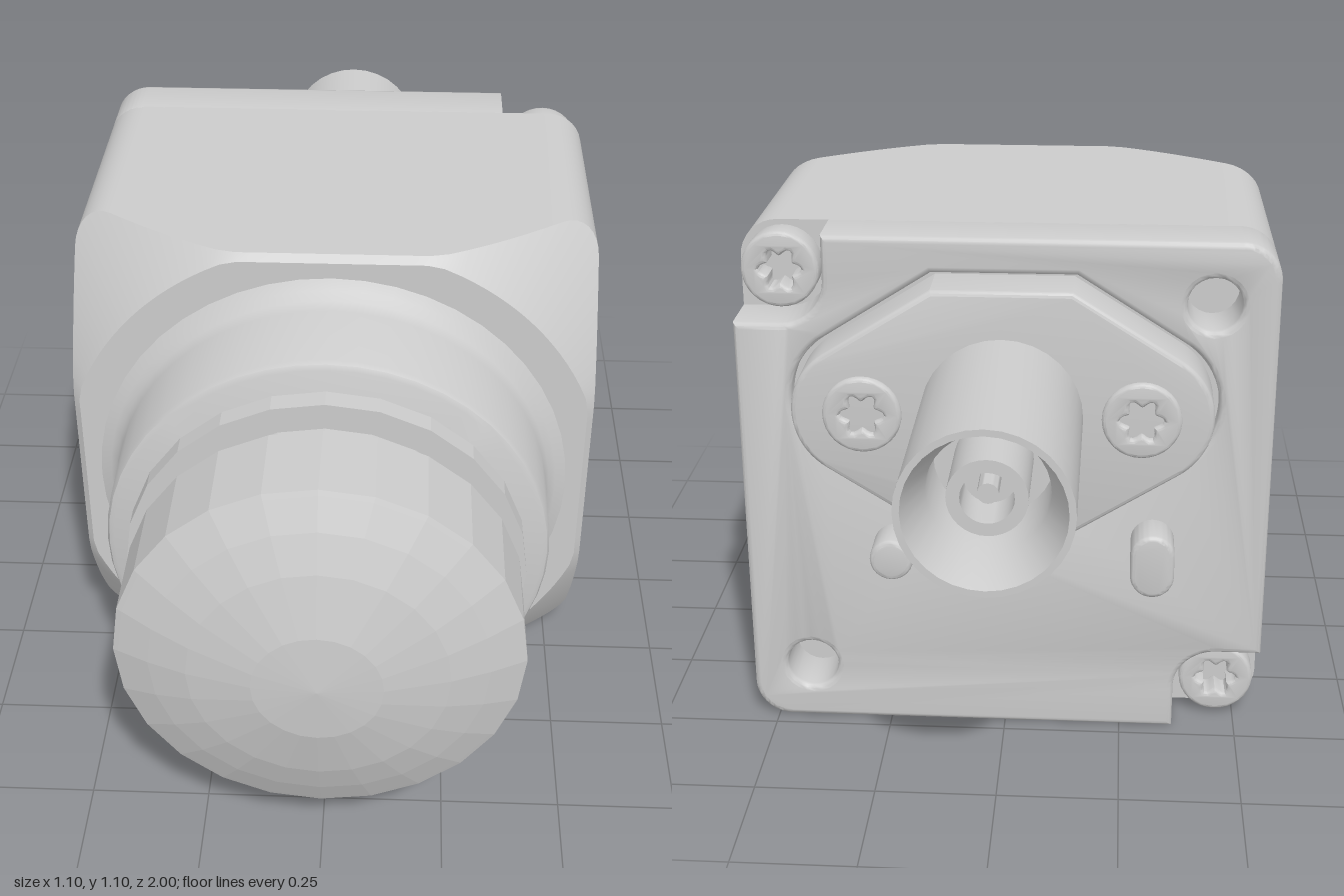
import * as THREE from 'three';
import { toCreasedNormals } from 'three/addons/utils/BufferGeometryUtils.js';

const MAT = new THREE.MeshStandardMaterial({ color: 0xcccccc });
const FACETED = new THREE.MeshStandardMaterial({ color: 0xcccccc, flatShading: true });
const PI = Math.PI;
const CY = 0.55;      // height of the lens axis
const PLUG_Y = 0.755; // height of the connector axis

const vec = (pts) => pts.map(([x, y]) => new THREE.Vector2(x, y));

function part(name, geo, x = 0, y = 0, z = 0, mat = MAT) {
  const m = new THREE.Mesh(mat === MAT ? toCreasedNormals(geo, 0.6) : geo, mat);
  m.name = name;
  m.position.set(x, y, z);
  return m;
}

// Solid of revolution about z; profile is [radius, z] with z rising on the outside
const turned = (pts, sides) => new THREE.LatheGeometry(vec(pts), sides).rotateX(PI / 2);

// Slab between z0 and z1 whose edges are rounded inward by b
function slab(shape, z0, z1, b = 0, curveSegments = 12) {
  return new THREE.ExtrudeGeometry(shape, {
    depth: z1 - z0 - 2 * b, bevelEnabled: b > 0, bevelSize: b, bevelThickness: b,
    bevelOffset: -b, bevelSegments: 3, curveSegments,
  }).translate(0, 0, z0 + b);
}

function circlePath(x, y, r) {
  return new THREE.Path().absarc(x, y, r, 0, PI * 2, true);
}

// Two-eared outline of the connector plate, grown by o
function earOutline(Type, cy, o = 0) {
  const s = new Type(), r = 0.145 + o, a = 1.0;
  s.absarc(0.28, cy, r, -a, a, false);
  s.lineTo(0.14 + o / 2, cy + 0.26 + o);
  s.lineTo(-0.14 - o / 2, cy + 0.26 + o);
  s.absarc(-0.28, cy, r, PI - a, PI + a, false);
  s.lineTo(-0.14 - o / 2, cy - 0.26 - o);
  s.lineTo(0.14 + o / 2, cy - 0.26 - o);
  s.closePath();
  return s;
}

// Housing front: rounded square whose front corners are cut by a cone
function housingFront() {
  const H = 0.55, R = 0.08, F = 0.34, B = -0.35, CUT = 0.59, outline = [];
  for (let q = 0; q < 4; q++) {
    const local = [];
    for (let i = 0; i < 24; i++) local.push([H, -(H - R) + (2 * (H - R) * i) / 24]);
    for (let i = 0; i < 8; i++) {
      const t = (i / 8) * PI / 2;
      local.push([H - R + R * Math.cos(t), H - R + R * Math.sin(t)]);
    }
    const c = Math.round(Math.cos(q * PI / 2)), s = Math.round(Math.sin(q * PI / 2));
    local.forEach(([x, y]) => outline.push([c * x - s * y, s * x + c * y]));
  }
  const n = outline.length, rings = [[], [], [], [], [], []];
  for (const [x, y] of outline) {
    const d = Math.hypot(x, y), k = Math.min(1, CUT / d);
    rings[0].push(0, 0, F);
    rings[1].push(x * k * 0.975, y * k * 0.975, F);
    rings[2].push(x * k, y * k, F - 0.015);
    rings[3].push(x, y, F - 0.015 - Math.max(0, d - CUT) * 1.15);
    rings[4].push(x, y, B);
    rings[5].push(0, 0, B);
  }
  const index = [];
  for (let i = 0; i < 5; i++) for (let j = 0; j < n; j++) {
    const a = i * n + j, b = i * n + (j + 1) % n;
    index.push(a, a + n, b, b, a + n, b + n);
  }
  const g = new THREE.BufferGeometry();
  g.setAttribute('position', new THREE.Float32BufferAttribute(rings.flat(), 3));
  g.setIndex(index);
  return g;
}

// Housing back: two corners notched for screws, with holes and a plate pocket
function housingBack() {
  const s = new THREE.Shape();
  s.moveTo(0.55, -0.47);
  s.lineTo(0.55, 0.365);
  s.lineTo(0.455, 0.365);
  s.absarc(0.455, 0.455, 0.09, -PI / 2, -PI, true);
  s.lineTo(0.365, 0.55);
  s.lineTo(-0.47, 0.55);
  s.absarc(-0.47, 0.47, 0.08, PI / 2, PI, false);
  s.lineTo(-0.55, -0.365);
  s.lineTo(-0.455, -0.365);
  s.absarc(-0.455, -0.455, 0.09, PI / 2, 0, true);
  s.lineTo(-0.365, -0.55);
  s.lineTo(0.47, -0.55);
  s.absarc(0.47, -0.47, 0.08, -PI / 2, 0, false);
  s.holes.push(circlePath(-0.42, 0.42, 0.055), circlePath(0.42, -0.42, 0.055));
  s.holes.push(earOutline(THREE.Path, PLUG_Y - CY, 0.012));
  return slab(s, -0.47, -0.335, 0.013);
}

// Screw head with a six-lobed socket
function screwHead(r, z0, z1) {
  const s = new THREE.Shape().absarc(0, 0, r, 0, PI * 2, false);
  const lobes = [];
  for (let i = 0; i < 48; i++) {
    const t = -(i / 48) * PI * 2, q = r * (0.46 + 0.1 * Math.cos(6 * t));
    lobes.push([q * Math.cos(t), q * Math.sin(t)]);
  }
  s.holes.push(new THREE.Path(vec(lobes)));
  return slab(s, z0, z1, 0.008, 16);
}

export function createModel() {
  const g = new THREE.Group();
  g.name = 'camera';

  // Housing
  g.add(part('housingFront', housingFront(), 0, CY));
  g.add(part('housingBack', housingBack(), 0, CY));
  g.add(part('pocketFloor', slab(earOutline(THREE.Shape, 0, 0.015), -0.43, -0.34), 0, PLUG_Y));

  // Collar with a flared foot
  g.add(part('lensCollar', turned([
    [0.515, 0.33], [0.5, 0.342], [0.48, 0.35], [0.465, 0.365], [0.457, 0.39],
    [0.455, 0.565], [0.45, 0.575], [0.44, 0.58], [0, 0.58],
  ], 48), 0, CY));

  // Lens: neck, thin ring, groove, head and domed glass
  g.add(part('lensBarrel', turned([
    [0.24, 0.57], [0.24, 0.6], [0.405, 0.6], [0.405, 0.645], [0.35, 0.645],
    [0.35, 0.715], [0.395, 0.715], [0.395, 0.895], [0.385, 0.9],
  ], 24), 0, CY, 0, FACETED));
  const dome = [[0.385, 0.9], [0.325, 0.929], [0.25, 0.958], [0.125, 0.99], [0, 1]];
  g.add(part('lensDome', turned(dome, 24), 0, CY, 0, FACETED));

  // Connector plate, socket tube and latch
  g.add(part('connectorPlate', slab(earOutline(THREE.Shape, 0), -0.545, -0.42, 0.01), 0, PLUG_Y));
  g.add(part('connectorTube', turned([
    [0, -0.91], [0.02, -0.91], [0.02, -0.84], [0.05, -0.84], [0.05, -0.93], [0.075, -0.93],
    [0.075, -0.75], [0.115, -0.75], [0.115, -0.9], [0.15, -1], [0.163, -1], [0.163, -0.53],
  ], 32), 0, PLUG_Y));
  const latch = new THREE.Shape(vec([
    [0.54, 0.62], [0.54, 0.55], [0.67, 0.55], [0.67, 0.48], [0.71, 0.48], [0.8, 0.55], [0.8, 0.62],
  ]));
  g.add(part('connectorLatch', slab(latch, -0.055, 0.055).rotateY(PI / 2)));

  // Screws, mirrored in pairs
  for (const s of [1, -1]) {
    g.add(part('plateScrew', screwHead(0.08, -0.558, -0.53), s * 0.28, PLUG_Y));
    g.add(part('cornerScrew', screwHead(0.08, -0.41, -0.345), s * 0.46, CY + s * 0.46));
  }

  // Locating pins
  const oval = new THREE.Shape();
  oval.absarc(0, 0.025, 0.045, 0, PI, false);
  oval.absarc(0, -0.025, 0.045, PI, PI * 2, false);
  g.add(part('ovalPin', slab(oval, -0.555, -0.46, 0.01), -0.31, 0.43));
  const round = new THREE.Shape().absarc(0, 0, 0.045, 0, PI * 2, false);
  g.add(part('roundPin', slab(round, -0.555, -0.46, 0.01), 0.23, 0.43));

  return g;
}
